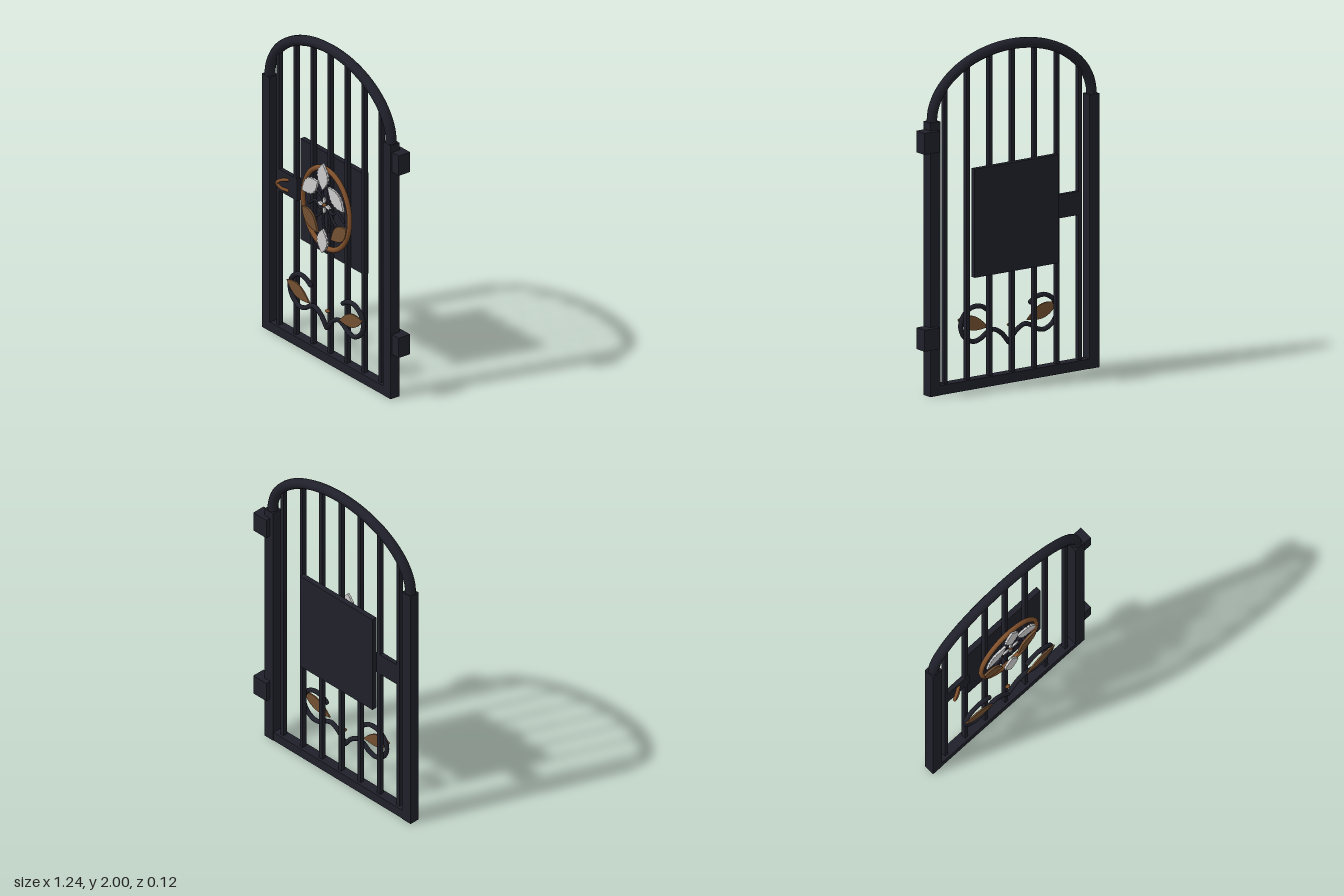
import * as THREE from 'three';

const CX = -0.03; // centre line of the gate leaf

export function createModel() {
  const gate = new THREE.Group();
  gate.name = 'gardenGate';

  const material = (name, color) => {
    const m = new THREE.MeshStandardMaterial({ color });
    m.name = name;
    return m;
  };
  const iron = material('dark iron', 0x20202b);
  const copper = material('copper', 0x80502b);
  const bronze = material('bronze leaf', 0x735031);
  const silver = material('silver petal', 0xcccccc);

  const add = (name, geometry, mat) => {
    const mesh = new THREE.Mesh(geometry, mat);
    mesh.name = name;
    gate.add(mesh);
    return mesh;
  };

  // box given by its limits on each axis
  const block = (name, x0, x1, y0, y1, z0, z1, mat = iron) =>
    add(name, new THREE.BoxGeometry(x1 - x0, y1 - y0, z1 - z0), mat)
      .position.set((x0 + x1) / 2, (y0 + y1) / 2, (z0 + z1) / 2);

  // round rod through points, with rounded ends
  const rod = (name, points, radius, mat, segments = 64) => {
    const curve = new THREE.CatmullRomCurve3(points.map((p) => new THREE.Vector3(...p)));
    add(name, new THREE.TubeGeometry(curve, segments, radius, 10), mat);
    for (const t of [0, 1]) {
      add(name + 'End', new THREE.SphereGeometry(radius, 10, 8), mat).position.copy(curve.getPoint(t));
    }
  };

  // flat pointed leaf from base to tip; teeth give a scalloped edge
  const leaf = (name, base, tip, halfWidth, z, depth, mat, teeth = 0, bias = 1) => {
    const dx = tip[0] - base[0], dy = tip[1] - base[1];
    const length = Math.hypot(dx, dy), n = 32, edge = [];
    for (let i = 0; i <= n; i++) {
      const u = i / n;
      const ripple = teeth ? 1 + 0.08 * Math.sin(u * teeth * Math.PI * 2) : 1;
      edge.push([u * length, halfWidth * Math.sin(Math.PI * u ** bias) * ripple]);
    }
    const outline = edge.map(([x, y]) => new THREE.Vector2(x, -y));
    for (let i = n - 1; i > 0; i--) outline.push(new THREE.Vector2(edge[i][0], edge[i][1]));
    const mesh = add(name, new THREE.ExtrudeGeometry(new THREE.Shape(outline),
      { depth, bevelEnabled: false }), mat);
    mesh.position.set(base[0], base[1], z);
    mesh.rotation.z = Math.atan2(dy, dx);
  };

  // frame: posts, bottom rail and elliptical arch
  block('rightPost', -0.62, -0.55, 0, 1.6, -0.033, 0.031);
  block('leftPost', 0.49, 0.56, 0, 1.6, -0.033, 0.031);
  block('bottomRail', -0.56, 0.5, 0, 0.057, -0.03, 0.03);
  const RX = 0.556, RY = 0.37;
  const arch = [];
  for (let i = 0; i <= 24; i++) {
    const a = Math.PI * i / 24;
    arch.push([CX + RX * Math.cos(a), 1.6 + RY * Math.sin(a), 0]);
  }
  rod('arch', arch, 0.031, iron, 72);

  // upright bars reaching into the arch
  for (let i = -3; i <= 3; i++) {
    const d = i * 0.156;
    const top = 1.6 + RY * Math.sqrt(1 - (d / RX) ** 2);
    block('bar', CX + d - 0.012, CX + d + 0.012, 0.03, top - 0.005, -0.014, 0.014);
  }

  // hinges, back panel and latch
  block('lowerHinge', 0.515, 0.62, 0.28, 0.405, -0.062, 0.02);
  block('upperHinge', 0.515, 0.62, 1.43, 1.555, -0.062, 0.02);
  block('backPanel', -0.325, 0.26, 0.655, 1.29, -0.046, -0.014);
  block('latchPlate', -0.485, -0.32, 0.905, 1.042, -0.013, 0.013);
  rod('latchHandle', [[-0.405, 1.005, 0.015], [-0.44, 0.997, 0.035], [-0.465, 0.975, 0.046],
    [-0.44, 0.948, 0.035], [-0.405, 0.938, 0.015]], 0.01, copper, 28);

  // oval ring of the medallion
  const ring = new THREE.TorusGeometry(1, 0.066, 12, 72);
  ring.scale(0.214, 0.248, 0.22);
  add('medallionRing', ring, copper).position.set(CX, 0.974, 0.03);

  // petals on the centre line
  leaf('topPetal', [CX, 1.1], [CX + 0.002, 1.268], 0.048, 0.048, 0.013, silver, 7);
  leaf('bottomPetal', [CX, 0.855], [CX - 0.006, 0.7], 0.046, 0.048, 0.013, silver, 7);

  // mirrored petals, leaves and stems of the medallion, and the lower scrolls
  const scroll = [[0, 0.222], [0.053, 0.284], [0.11, 0.313], [0.153, 0.3], [0.196, 0.272], [0.25, 0.262],
    [0.31, 0.297], [0.336, 0.36], [0.314, 0.424], [0.254, 0.463], [0.19, 0.459], [0.15, 0.434]];
  const stems = [
    [[0.015, 1.0], [0.05, 1.04], [0.1, 1.07]],
    [[0.015, 0.99], [0.05, 0.93], [0.11, 0.88]],
    [[0.01, 0.98], [0.06, 0.96], [0.1, 0.99], [0.16, 0.95]],
    [[0.01, 0.97], [0.03, 0.9], [0.02, 0.84]],
    [[0.01, 1.01], [0.035, 1.06], [0.01, 1.12]],
  ];
  for (const s of [-1, 1]) {
    const at = (x, y) => [CX + s * x, y];
    leaf('sidePetal', at(0.045, 1.135), at(0.19, 1.03), 0.046, 0.046, 0.013, silver, 7);
    leaf('lowerLeaf', at(0.2, 0.92), at(0.06, 0.805), 0.044, 0.036, 0.013, bronze, 0, 0.85);
    for (const path of stems) {
      rod('medallionStem', path.map(([x, y]) => [...at(x, y), 0.03]), 0.008, iron, 20);
    }
    rod('scroll', scroll.map(([x, y]) => [...at(x, y), 0.028]), 0.014, iron, 80);
    leaf('scrollLeaf', at(0.345, 0.4), at(0.135, 0.328), 0.041, 0.038, 0.009, bronze, 0, 0.9);
  }

  // small four-petalled flower and its copper centre
  for (let i = 0; i < 4; i++) {
    const a = i * Math.PI / 2, c = Math.cos(a), s = Math.sin(a);
    leaf('flowerPetal', [CX + 0.01 * c, 1 + 0.01 * s], [CX + 0.06 * c, 1 + 0.052 * s],
      0.012, 0.04, 0.01, silver);
  }
  add('flowerCentre', new THREE.SphereGeometry(0.012, 12, 8), copper).position.set(CX, 1, 0.044);

  // bud between the scrolls
  const bud = add('scrollBud', new THREE.SphereGeometry(0.016, 12, 8), copper);
  bud.scale.set(1, 0.6, 0.8);
  bud.position.set(CX, 0.325, 0.022);

  return gate;
}
